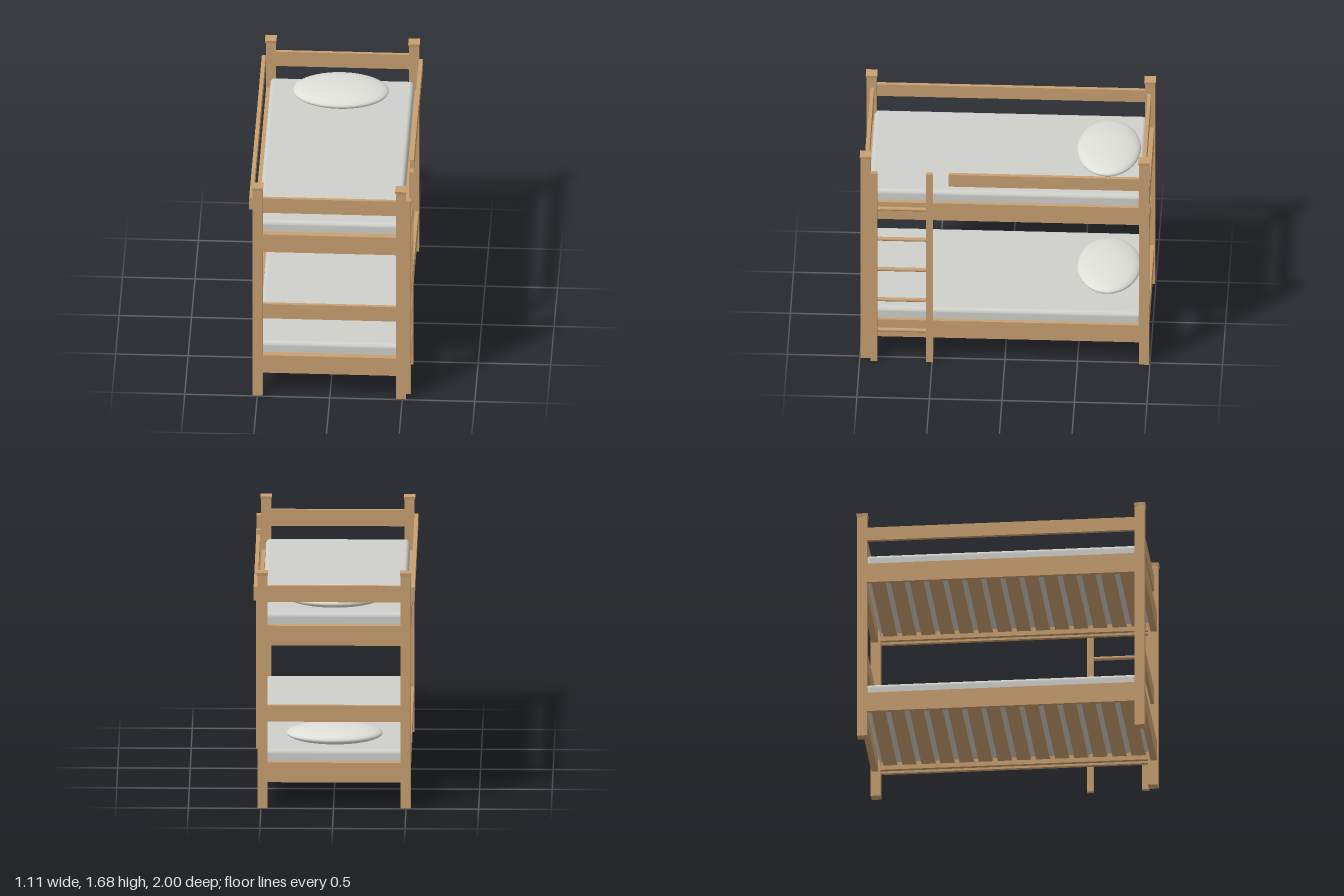
import * as THREE from 'three';
import { RoundedBoxGeometry } from 'three/addons/geometries/RoundedBoxGeometry.js';

const material = (name, color) => {
  const m = new THREE.MeshStandardMaterial({ color });
  m.name = name;
  return m;
};

export function createModel() {
  const wood = material('light wood', 0xc8a070);
  const sheet = material('mattress grey', 0xcfcfcb);
  const linen = material('pillow white', 0xdfdfda);

  const model = new THREE.Group();
  model.name = 'bunkBed';
  const frame = new THREE.Group();
  frame.name = 'bed';
  frame.position.x = -0.004;
  model.add(frame);

  const add = (parent, name, geometry, mat) => {
    const mesh = new THREE.Mesh(geometry, mat);
    mesh.name = name;
    parent.add(mesh);
    return mesh;
  };
  // Box given by its extents on each axis
  const box = (parent, name, [x0, x1], [y0, y1], [z0, z1]) => {
    const mesh = add(parent, name, new THREE.BoxGeometry(x1 - x0, y1 - y0, z1 - z0), wood);
    mesh.position.set((x0 + x1) / 2, (y0 + y1) / 2, (z0 + z1) / 2);
    return mesh;
  };
  const mirror = (side, a, b) => (side > 0 ? [a, b] : [-b, -a]);

  // Corner posts with slightly flared caps
  const capGeometry = new THREE.CylinderGeometry(0.04 * Math.SQRT2, 0.037 * Math.SQRT2, 0.02, 4)
    .rotateY(Math.PI / 4).toNonIndexed();
  capGeometry.computeVertexNormals();
  for (const sx of [-1, 1]) {
    for (const sz of [-1, 1]) {
      box(frame, 'cornerPost', mirror(sx, 0.459, 0.528), [0, 1.668], mirror(sz, 0.925, 0.994));
      add(frame, 'postCap', capGeometry, wood).position.set(sx * 0.494, 1.675, sz * 0.96);
    }
  }

  // Two bunks: rails, ledgers, slats, mattress and pillow
  const slatCount = 14;
  for (const [name, lift] of [['lowerBunk', 0], ['upperBunk', 0.98]]) {
    const bunk = new THREE.Group();
    bunk.name = name;
    bunk.position.y = lift;
    frame.add(bunk);

    for (const s of [-1, 1]) {
      box(bunk, 'sideRail', mirror(s, 0.499, 0.525), [0.184, 0.325], [-0.926, 0.926]);
      box(bunk, 'slatLedger', mirror(s, 0.472, 0.499), [0.2, 0.232], [-0.925, 0.925]);
      box(bunk, 'endRail', [-0.46, 0.46], [0.184, 0.325], mirror(s, 0.943, 0.988));
    }
    for (let i = 0; i < slatCount; i++) {
      const z = -0.925 + (1.85 * (i + 0.5)) / slatCount;
      box(bunk, 'slat', [-0.498, 0.498], [0.232, 0.254], [z - 0.048, z + 0.048]);
    }

    const mattress = add(bunk, 'mattress', new RoundedBoxGeometry(0.99, 0.148, 1.88, 4, 0.03), sheet);
    mattress.position.y = 0.329;

    const pillow = add(bunk, 'pillow', new THREE.SphereGeometry(1, 40, 24), linen);
    pillow.scale.set(0.331, 0.058, 0.22);
    pillow.position.set(0, 0.458, -0.696);
  }

  // End boards above each bunk
  for (const s of [-1, 1]) {
    for (const [y0, y1] of [[0.612, 0.728], [1.469, 1.585]]) {
      box(frame, 'endGuard', [-0.46, 0.46], [y0, y1], mirror(s, 0.943, 0.967));
    }
  }

  // Side guards; the one by the ladder is shorter
  box(frame, 'longGuard', [-0.555, -0.528], [1.468, 1.565], [-0.926, 0.926]);
  box(frame, 'shortGuard', [0.528, 0.555], [1.468, 1.565], [-0.926, 0.388]);

  // Ladder
  const ladder = new THREE.Group();
  ladder.name = 'ladder';
  frame.add(ladder);
  for (const z of [0.495, 0.878]) {
    box(ladder, 'ladderUpright', [0.528, 0.559], [0, 1.565], [z, z + 0.048]);
  }
  const rungGeometry = new THREE.CylinderGeometry(0.014, 0.014, 0.35, 16).rotateX(Math.PI / 2);
  for (let i = 0; i < 5; i++) {
    add(ladder, 'rung', rungGeometry, wood).position.set(0.5435, 0.254 + i * 0.2525, 0.71);
  }

  return model;
}
